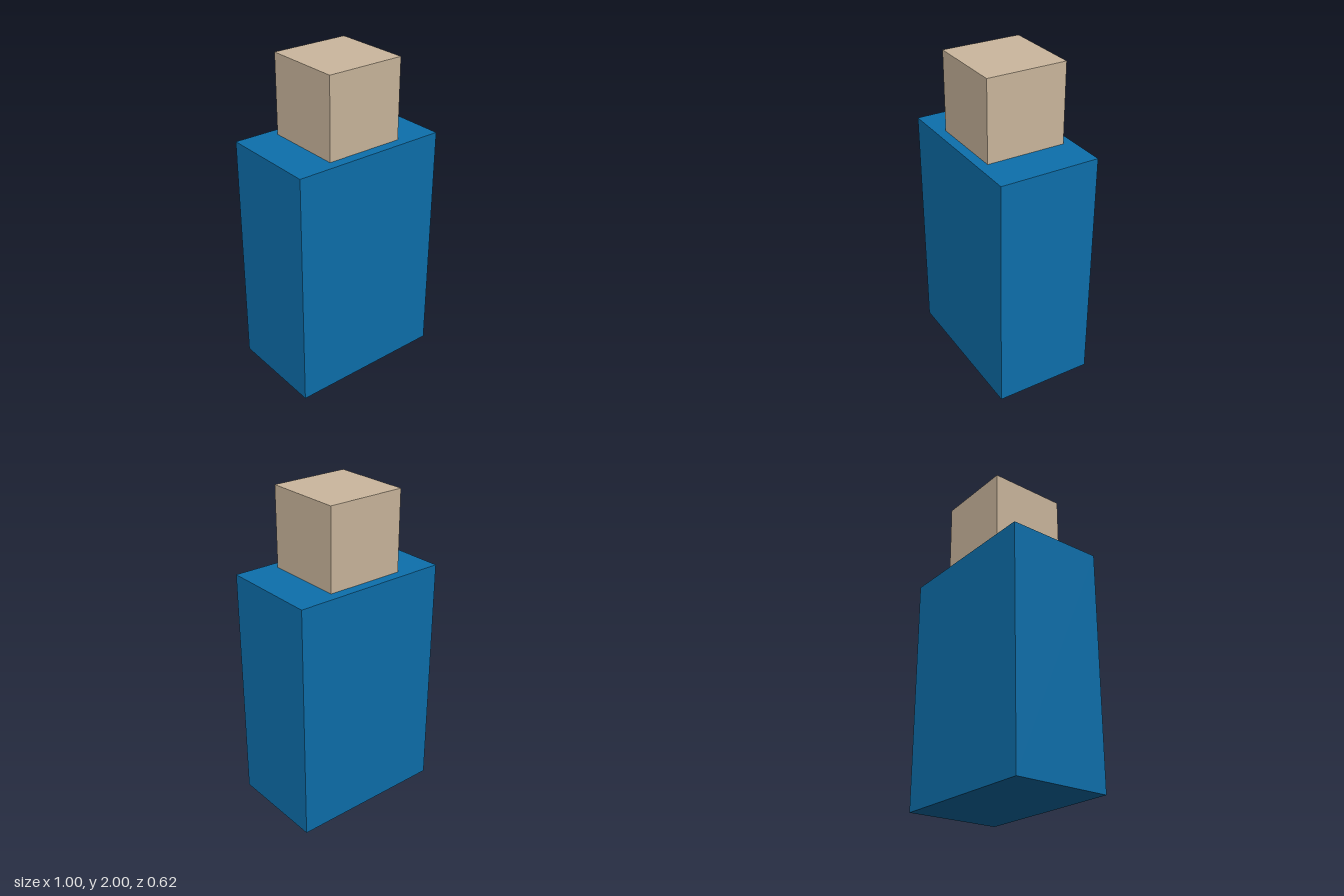
import * as THREE from 'three';

// Box standing with its underside at height y
function block(name, width, height, depth, y, color) {
  const mesh = new THREE.Mesh(
    new THREE.BoxGeometry(width, height, depth),
    new THREE.MeshStandardMaterial({ color })
  );
  mesh.name = name;
  mesh.position.y = y + height / 2;
  return mesh;
}

export function createModel() {
  const model = new THREE.Group();
  model.name = 'blockFigure';
  model.add(
    block('body', 1, 1.5, 0.625, 0, 0x0d70ad),
    block('head', 0.5, 0.5, 0.5, 1.5, 0xccb89e)
  );
  return model;
}
